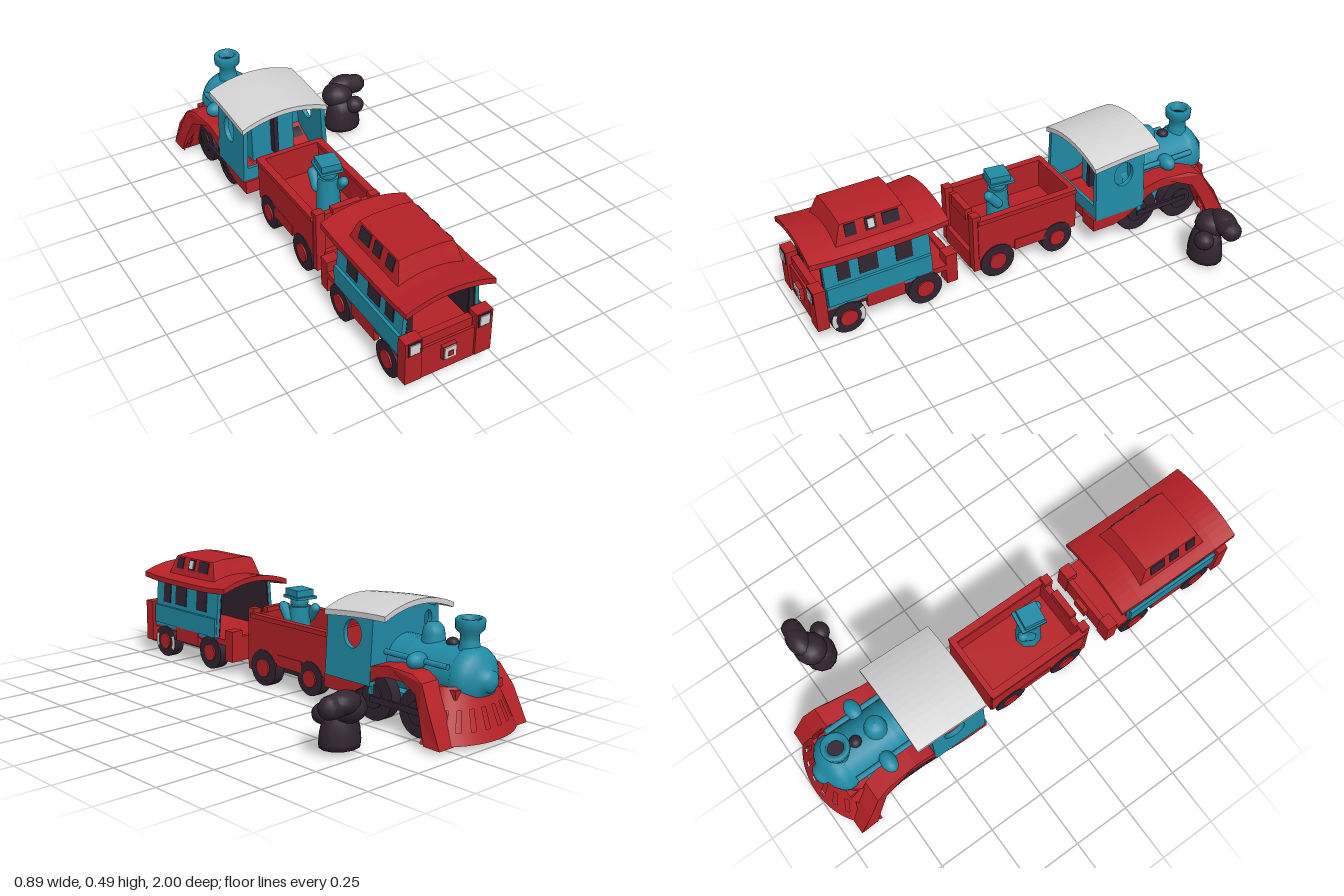
import * as THREE from 'three';

const mat = (name, color) => {
  const m = new THREE.MeshStandardMaterial({ color, side: THREE.DoubleSide });
  m.name = name;
  return m;
};

export function createModel() {
  const red = mat('red', 0xb52126), teal = mat('teal', 0x208ba6);
  const dark = mat('dark', 0x31232f), white = mat('white', 0xd4d4d4);
  const root = new THREE.Group();
  root.name = 'toyTrain';

  const group = (name, x) => {
    const g = new THREE.Group();
    g.name = name;
    g.position.x = x;
    root.add(g);
    return g;
  };
  const add = (g, name, geo, m, x = 0, y = 0, z = 0) => {
    const mesh = new THREE.Mesh(geo, m);
    mesh.name = name;
    mesh.position.set(x, y, z);
    g.add(mesh);
    return mesh;
  };
  // box given by its lower and upper limits in y and z
  const box = (g, name, m, w, y0, y1, z0, z1, x = 0) =>
    add(g, name, new THREE.BoxGeometry(w, y1 - y0, z1 - z0), m, x, (y0 + y1) / 2, (z0 + z1) / 2);
  const warp = (geo, fn) => {
    const p = geo.attributes.position, v = new THREE.Vector3();
    for (let i = 0; i < p.count; i++) {
      fn(v.fromBufferAttribute(p, i));
      p.setXYZ(i, v.x, v.y, v.z);
    }
    geo.computeVertexNormals();
    return geo;
  };
  const polygon = pts => new THREE.Shape(pts.map(p => new THREE.Vector2(...p)));
  const rect = (z, w, y0, y1) => polygon([[z - w / 2, y0], [z + w / 2, y0], [z + w / 2, y1], [z - w / 2, y1]]);
  // side profile in (z, y), extruded across x and centred
  const sideExtrude = (shape, width) => new THREE.ExtrudeGeometry(shape, { depth: width, bevelEnabled: false, curveSegments: 16 })
    .translate(0, 0, -width / 2).rotateY(-Math.PI / 2);
  const ellipse = (x, y, rx, ry) => new THREE.Path().absellipse(x, y, rx, ry, 0, Math.PI * 2);
  const lathe = (pts, n = 24) => new THREE.LatheGeometry(pts.map(p => new THREE.Vector2(...p)), n);
  const ball = (rx, ry, rz) => new THREE.SphereGeometry(1, 14, 10).scale(rx, ry, rz);
  // arched roof sheet running along z
  const archRoof = (half, yEdge, yMid, t, z0, z1) => {
    const top = [], under = [];
    for (let i = 0; i <= 12; i++) {
      const s = i / 6 - 1, y = yEdge + (yMid - yEdge) * (1 - s * s);
      top.push([s * half, y + t]);
      under.unshift([s * half, y]);
    }
    return new THREE.ExtrudeGeometry(polygon([...top, ...under]), { depth: z1 - z0, bevelEnabled: false, steps: 6 }).translate(0, 0, z0);
  };
  const wheelPair = (g, z, r, y, half, hubMat) => {
    for (const s of [-1, 1]) {
      const disc = (name, r0, w, x, m) =>
        add(g, name, new THREE.CylinderGeometry(r0, r0, w, 20).rotateZ(Math.PI / 2), m, s * (half + x), y, z);
      disc('wheel', r, 0.05, 0, dark);
      disc('wheelHub', r * 0.5, 0.014, 0.025, hubMat);
    }
    add(g, 'axle', new THREE.CylinderGeometry(0.016, 0.016, half * 2, 8).rotateZ(Math.PI / 2), dark, 0, y, z);
  };

  // ---------- Engine ----------
  const engine = group('engine', -0.2);
  const boiler = lathe([[0.112, 0.48], [0.114, 0.6], [0.118, 0.61], [0.118, 0.63], [0.114, 0.64], [0.114, 0.84],
    [0.122, 0.85], [0.122, 0.88], [0.108, 0.905], [0.075, 0.93], [0.045, 0.94], [0.042, 0.955], [0.025, 0.968], [0, 0.972]]);
  add(engine, 'boiler', boiler.rotateX(-Math.PI / 2), teal, 0, 0.235, 0);
  add(engine, 'chimney', lathe([[0.05, 0.3], [0.038, 0.37], [0.036, 0.4], [0.056, 0.42], [0.058, 0.455], [0.052, 0.462], [0.034, 0.46], [0.03, 0.41]], 20), teal, 0, 0, -0.845);
  add(engine, 'chimneyHole', new THREE.CircleGeometry(0.032, 16).rotateX(-Math.PI / 2), dark, 0, 0.43, -0.845);
  add(engine, 'steamDome', lathe([[0.05, 0.32], [0.045, 0.37], [0.04, 0.395], [0.026, 0.412], [0, 0.418]], 16), teal, 0, 0, -0.67);
  add(engine, 'bell', ball(0.026, 0.022, 0.026), dark, 0, 0.35, -0.765);
  for (const s of [-1, 1]) {
    add(engine, 'sideTank', ball(0.05, 0.034, 0.034), teal, s * 0.128, 0.29, -0.7);
    add(engine, 'sidePipe', new THREE.CylinderGeometry(0.012, 0.012, 0.32, 8).rotateX(Math.PI / 2), teal, s * 0.116, 0.29, -0.68);
    add(engine, 'drivingRod', new THREE.BoxGeometry(0.012, 0.024, 0.26), dark, s * 0.18, 0.11, -0.645);
  }

  // cab with round side windows and an open back
  const cabSide = polygon([[-0.285, 0.165], [-0.53, 0.165], [-0.53, 0.44], [-0.285, 0.43]]);
  cabSide.holes.push(ellipse(-0.425, 0.355, 0.047, 0.057));
  for (const s of [-1, 1])
    add(engine, 'cabSide', warp(sideExtrude(cabSide, 0.02), v => { v.x += s * (0.194 - 0.05 * (v.y - 0.165)); }), teal);
  const cabFront = polygon([[-0.19, 0.13], [0.19, 0.13], [0.175, 0.43], [0.08, 0.462], [-0.08, 0.462], [-0.175, 0.43]]);
  cabFront.holes.push(ellipse(-0.13, 0.385, 0.022, 0.035));
  add(engine, 'cabFront', new THREE.ExtrudeGeometry(cabFront, { depth: 0.02, bevelEnabled: false }), teal, 0, 0, -0.53);
  box(engine, 'fireboxBack', teal, 0.2, 0.165, 0.39, -0.515, -0.405);
  box(engine, 'cabDivider', dark, 0.02, 0.2, 0.42, -0.405, -0.37);
  box(engine, 'cabBackPanel', teal, 0.37, 0.165, 0.23, -0.3, -0.285);
  add(engine, 'cabRoof', warp(archRoof(0.2, 0.42, 0.462, 0.022, -0.6, -0.275), v => {
    const t = (-0.275 - v.z) / 0.325;
    v.y += 0.022 * Math.sin(t * 1.6) - 0.012;
  }), white);

  // fender arching over the wheels, flaring outward to the nose
  const fender = polygon([[-0.275, 0.11], [-0.275, 0.17], [-0.42, 0.175], [-0.48, 0.205], [-0.54, 0.25], [-0.62, 0.265], [-0.76, 0.265],
    [-0.82, 0.245], [-0.875, 0.16], [-0.94, 0.022], [-0.86, 0.022], [-0.82, 0.12], [-0.78, 0.195], [-0.72, 0.22], [-0.62, 0.22], [-0.56, 0.205],
    [-0.5, 0.16], [-0.44, 0.125], [-0.38, 0.11]]);
  for (const s of [-1, 1])
    add(engine, 'fender', warp(sideExtrude(fender, 0.09), v => {
      const nose = Math.max(0, Math.min(1, (-0.7 - v.z) / 0.17));
      v.x += s * (0.155 + 0.06 * nose * (1 - Math.max(0, v.y - 0.1) * 2)) + 0.008 * nose;
    }), red);
  box(engine, 'deck', red, 0.36, 0.13, 0.17, -0.44, -0.28);
  box(engine, 'underframe', teal, 0.22, 0.085, 0.14, -0.84, -0.42);
  box(engine, 'cabUnderside', teal, 0.22, 0.115, 0.13, -0.42, -0.29);

  // cowcatcher: curved rails and bars in front of a solid backing
  const nosePanel = (name, a0, a1, t0, t1, n, inset = 0) => {
    const geo = new THREE.PlaneGeometry(1, 1, n, 1);
    add(engine, name, warp(geo, v => {
      const a = a0 + (a1 - a0) * (v.x + 0.5), t = t0 + (t1 - t0) * (0.5 - v.y);
      v.set((0.15 + 0.105 * t - inset) * Math.sin(a) + 0.005, 0.225 - 0.2 * t, -0.825 - (0.09 + 0.085 * t - inset) * Math.cos(a));
    }), red);
  };
  const arc = 1.5;
  nosePanel('cowcatcherTop', -arc, arc, 0, 0.4, 24);
  nosePanel('cowcatcherFoot', -arc, arc, 0.78, 1, 24);
  nosePanel('cowcatcherBacking', -arc, arc, 0.1, 0.95, 24, 0.018);
  for (let i = 0; i < 11; i++) {
    const a = -arc + (i / 10) * 2 * arc;
    nosePanel('cowcatcherBar', a - 0.1, a + 0.1, 0.38, 0.8, 1);
  }
  box(engine, 'noseShelf', red, 0.28, 0.18, 0.215, -0.9, -0.8);
  wheelPair(engine, -0.52, 0.1, 0.12, 0.148, dark);
  wheelPair(engine, -0.755, 0.098, 0.105, 0.148, dark);
  box(engine, 'coupling', red, 0.06, 0.13, 0.17, -0.29, -0.19);

  // ---------- Tender wagon ----------
  const tender = group('tender', -0.215);
  box(tender, 'floor', red, 0.27, 0.12, 0.18, -0.22, 0.25);
  for (const s of [-1, 1]) {
    box(tender, 'side', red, 0.022, 0.12, 0.31, -0.22, 0.25, s * 0.138);
    box(tender, 'sideRim', red, 0.032, 0.295, 0.315, -0.222, 0.25, s * 0.14);
    box(tender, 'sill', red, 0.02, 0.11, 0.16, -0.075, 0.08, s * 0.143);
    box(tender, 'cornerPost', red, 0.04, 0.06, 0.335, 0.235, 0.272, s * 0.125);
  }
  box(tender, 'frontWall', red, 0.29, 0.12, 0.315, -0.225, -0.2);
  box(tender, 'backWall', red, 0.29, 0.1, 0.31, 0.23, 0.255);
  box(tender, 'backCrest', red, 0.13, 0.28, 0.33, 0.235, 0.265);
  box(tender, 'bumper', red, 0.22, 0.06, 0.14, 0.23, 0.275);
  box(tender, 'axleFrame', dark, 0.15, 0.06, 0.11, -0.17, 0.22);
  wheelPair(tender, 0.165, 0.08, 0.085, 0.128, red);
  wheelPair(tender, -0.127, 0.074, 0.098, 0.128, red);

  // small driver figure standing in the wagon
  const driver = new THREE.Group();
  driver.name = 'driver';
  driver.position.set(0.015, 0, 0.085);
  driver.rotation.y = -0.15;
  tender.add(driver);
  add(driver, 'body', new THREE.CylinderGeometry(0.045, 0.058, 0.19, 8), teal, 0, 0.26, 0);
  add(driver, 'head', ball(0.04, 0.04, 0.04), teal, 0, 0.375, 0);
  box(driver, 'capBrim', teal, 0.1, 0.39, 0.402, -0.06, 0.05);
  box(driver, 'capTop', teal, 0.085, 0.4, 0.43, -0.045, 0.045);
  for (const s of [-1, 1]) add(driver, 'arm', new THREE.CapsuleGeometry(0.022, 0.06, 3, 8), teal, s * 0.045, 0.325, s * 0.035).rotation.x = 0.7 * s;

  // ---------- Caboose ----------
  const caboose = group('caboose', -0.22);
  box(caboose, 'floor', red, 0.24, 0.1, 0.15, 0.38, 0.97);
  box(caboose, 'deck', red, 0.34, 0.14, 0.165, 0.38, 0.97);
  box(caboose, 'axleFrame', dark, 0.18, 0.06, 0.1, 0.45, 0.92);
  for (const s of [-1, 1]) {
    const wallPlate = (name, shape, t, x, m) =>
      add(caboose, name, warp(sideExtrude(shape, t), v => { v.x += s * (x - 0.08 * (v.y - 0.15)); }), m);
    const wall = rect(0.7, 0.455, 0.15, 0.385);
    wallPlate('cabinSide', wall, 0.016, 0.165, teal);
    wallPlate('cabinLining', wall, 0.006, 0.153, dark);
    box(caboose, 'lowerPanel', teal, 0.024, 0.165, 0.25, 0.475, 0.925, s * 0.166);
    box(caboose, 'sill', red, 0.02, 0.1, 0.165, 0.6, 0.765, s * 0.166);
    for (const [z, w] of [[0.845, 0.052], [0.74, 0.08], [0.587, 0.072]])
      wallPlate('window', rect(z, w, 0.268, 0.358), 0.006, 0.174, dark);
    box(caboose, 'doorFrame', dark, 0.03, 0.165, 0.388, 0.918, 0.926, s * 0.135);
    box(caboose, 'rearPost', red, 0.07, 0.07, 0.26, 0.935, 0.985, s * 0.15);
    box(caboose, 'frontPost', red, 0.06, 0.07, 0.21, 0.36, 0.41, s * 0.14);
    box(caboose, 'rearLampFrame', dark, 0.054, 0.2, 0.256, 0.983, 0.988, s * 0.148);
    box(caboose, 'rearLamp', white, 0.042, 0.206, 0.25, 0.984, 0.992, s * 0.148);
  }
  box(caboose, 'rearRail', red, 0.33, 0.06, 0.2, 0.94, 0.975);
  box(caboose, 'rearRailStep', red, 0.22, 0.18, 0.24, 0.935, 0.965);
  box(caboose, 'rearLampBase', red, 0.058, 0.119, 0.179, 0.97, 0.992);
  box(caboose, 'rearLampGlass', white, 0.05, 0.123, 0.175, 0.99, 0.997);
  box(caboose, 'rearLampBulb', red, 0.022, 0.136, 0.158, 0.994, 1.0);
  box(caboose, 'frontRail', red, 0.3, 0.07, 0.18, 0.365, 0.39);
  box(caboose, 'frontCoupling', red, 0.07, 0.1, 0.15, 0.345, 0.37);
  wheelPair(caboose, 0.85, 0.074, 0.081, 0.15, red);
  wheelPair(caboose, 0.512, 0.076, 0.09, 0.15, red);
  // worn white patches on one wheel rim
  for (const a of [-0.5, Math.PI - 0.5])
    add(caboose, 'rimPatch', new THREE.RingGeometry(0.054, 0.071, 8, 1, a, 1).rotateY(Math.PI / 2), white, 0.177, 0.081, 0.85);

  // roof with a tapered lookout on top
  add(caboose, 'roof', warp(archRoof(0.187, 0.365, 0.402, 0.024, 0.395, 0.985), v => {
    v.y += 0.012 * Math.pow(Math.abs(v.z - 0.69) / 0.3, 4);
  }), red);
  const lookout = new THREE.BoxGeometry(0.28, 0.1, 0.34, 4, 4, 4).translate(0, 0.445, 0.69);
  add(caboose, 'lookout', warp(lookout, v => {
    const t = (v.y - 0.395) / 0.1;
    v.x *= 1 - 0.18 * t;
    v.z = 0.69 + (v.z - 0.69) * (1 - 0.22 * t);
    if (v.y > 0.49) v.y -= Math.abs(v.x) > 0.09 ? 0.006 : -0.003;
  }), red);
  const lookoutPane = (name, s, z, w, y0, y1, x, m) =>
    add(caboose, name, warp(sideExtrude(rect(z, w, y0, y1), 0.006), v => { v.x += s * (x - 0.252 * (v.y - 0.395)); }), m);
  for (const s of [-1, 1]) for (const [z, w] of [[0.785, 0.046], [0.7, 0.046], [0.615, 0.07]])
    lookoutPane('lookoutWindow', s, z, w, 0.435, 0.484, 0.141, dark);
  lookoutPane('lookoutGlint', 1, 0.7, 0.026, 0.445, 0.48, 0.144, white);

  // ---------- Loose rounded figure beside the track ----------
  const figure = group('sideFigure', 0);
  const base = lathe([[0, 0.028], [0.084, 0.028], [0.086, 0.05], [0.082, 0.09], [0.074, 0.125], [0.06, 0.165], [0, 0.19]], 12);
  add(figure, 'base', base.scale(1, 1, 0.85), dark, 0.293, 0, -0.66);
  add(figure, 'head', ball(0.073, 0.06, 0.07), dark, 0.284, 0.18, -0.69);
  add(figure, 'crown', ball(0.075, 0.045, 0.05), dark, 0.33, 0.212, -0.715);
  add(figure, 'arm', new THREE.CapsuleGeometry(0.045, 0.06, 4, 10), dark, 0.363, 0.205, -0.708).rotation.z = Math.PI / 2 - 0.1;
  add(figure, 'paw', ball(0.045, 0.04, 0.042), dark, 0.335, 0.15, -0.615);
  return root;
}
